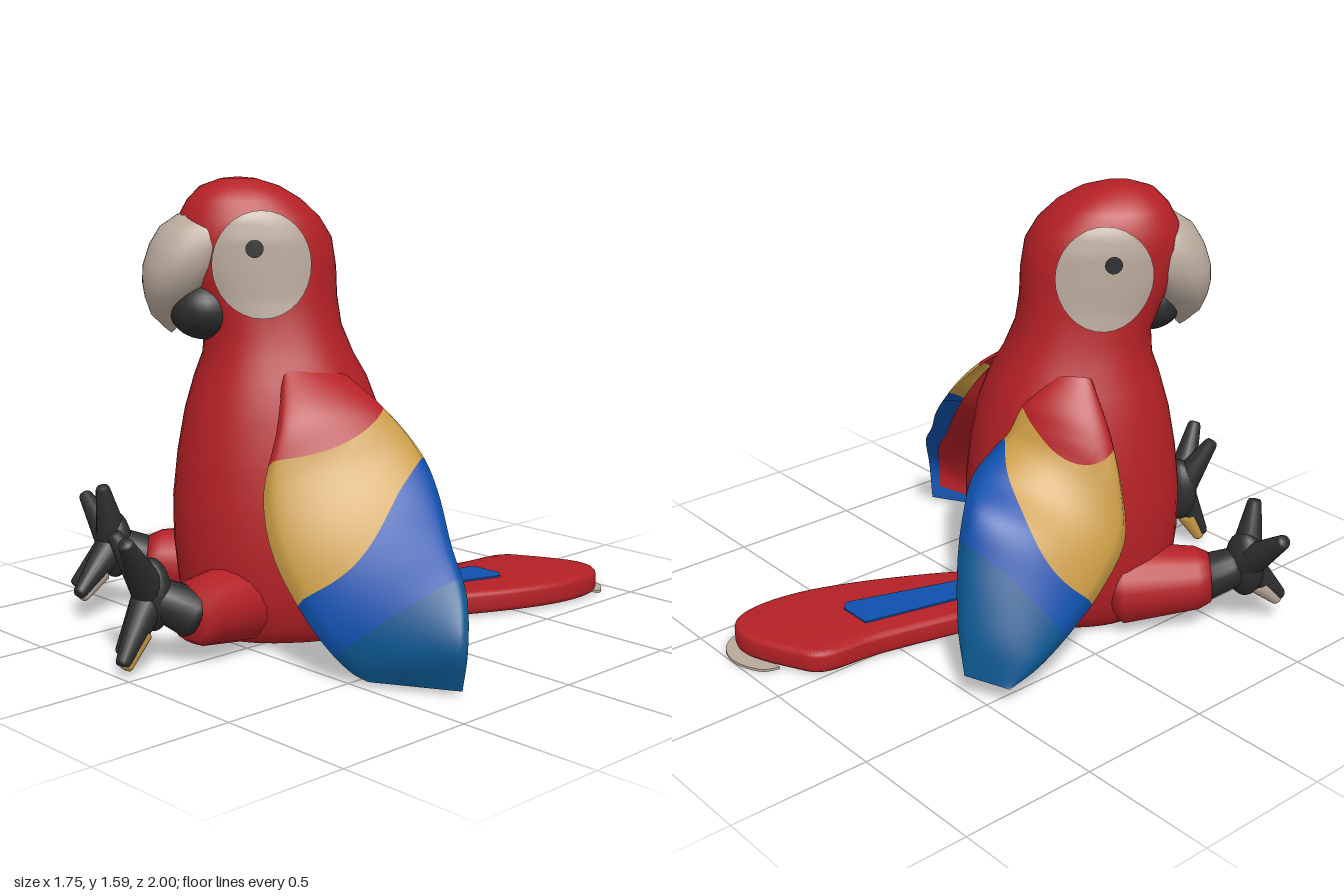
import * as THREE from 'three';
import { mergeVertices, toCreasedNormals } from 'three/addons/utils/BufferGeometryUtils.js';

const V = (x, y, z) => new THREE.Vector3(x, y, z);
const YAW = -0.64; // the bird sits turned towards its right

function material(name, color) {
  const m = new THREE.MeshStandardMaterial({ color, side: THREE.DoubleSide });
  m.name = name;
  return m;
}

// Smooth surface through point(u, v), u and v from 0 to 1
function surface(point, nu, nv) {
  const pos = [], index = [];
  for (let j = 0; j <= nv; j++)
    for (let i = 0; i <= nu; i++) pos.push(...point(i / nu, j / nv).toArray());
  for (let j = 0; j < nv; j++)
    for (let i = 0; i < nu; i++) {
      const a = j * (nu + 1) + i, d = a + nu + 1;
      index.push(a, a + 1, d + 1, a, d + 1, d);
    }
  let geo = new THREE.BufferGeometry();
  geo.setAttribute('position', new THREE.Float32BufferAttribute(pos, 3));
  geo.setIndex(index);
  geo = mergeVertices(geo, 1e-5);
  geo.computeVertexNormals();
  return geo;
}

// Cross-section rows: height, forward offset, half width, half depth
const BODY = [
  [0.025, 0, 0, 0], [0.03, 0, 0.28, 0.29], [0.09, 0, 0.33, 0.35], [0.2, 0, 0.352, 0.375],
  [0.35, 0.005, 0.36, 0.385], [0.5, 0.005, 0.354, 0.385], [0.65, 0.005, 0.336, 0.368], [0.8, 0.005, 0.31, 0.34],
  [0.92, 0.01, 0.275, 0.3], [1.0, 0.018, 0.245, 0.262], [1.1, 0.035, 0.22, 0.238],
  [1.2, 0.062, 0.208, 0.25], [1.3, 0.085, 0.207, 0.27], [1.4, 0.1, 0.205, 0.27], [1.47, 0.115, 0.193, 0.243],
  [1.53, 0.13, 0.162, 0.195], [1.575, 0.145, 0.115, 0.135], [1.6, 0.15, 0.055, 0.06], [1.606, 0.15, 0, 0],
];
const BEAK = [
  [1.075, 0.385, 0, 0], [1.09, 0.387, 0.018, 0.018], [1.14, 0.4, 0.062, 0.055], [1.2, 0.385, 0.112, 0.09],
  [1.25, 0.365, 0.145, 0.118], [1.31, 0.34, 0.165, 0.14], [1.38, 0.305, 0.165, 0.152], [1.44, 0.275, 0.145, 0.145],
  [1.48, 0.25, 0.09, 0.11], [1.495, 0.24, 0, 0],
];
const POWER = 2.4;

function rowAt(rows, y) {
  let i = 0;
  while (i < rows.length - 2 && rows[i + 1][0] < y) i++;
  const k = (y - rows[i][0]) / (rows[i + 1][0] - rows[i][0]);
  return rows[i].map((a, n) => a + (rows[i + 1][n] - a) * k);
}

function loft(rows) {
  const n = rows.length - 1;
  const round = (c) => Math.sign(c) * Math.abs(c) ** (2 / POWER);
  return surface((u, v) => {
    const [y, f, rx, rz] = rows[Math.round(v * n)];
    const a = u * Math.PI * 2;
    return V(rx * round(Math.sin(a)), y, f + rz * round(Math.cos(a)));
  }, 48, n);
}

// Oval lying just above the side of the head
function sidePatch(side, y0, z0, ry, rz, lift) {
  return surface((u, v) => {
    const a = -side * u * Math.PI * 2;
    const y = y0 + ry * v * Math.sin(a);
    const z = z0 + rz * v * Math.cos(a);
    const [, f, hx, hz] = rowAt(BODY, y);
    const x = hx * Math.max(0, 1 - Math.abs((z - f) / hz) ** POWER) ** (1 / POWER);
    return V(side * (x + lift), y, z);
  }, 32, 10);
}

// Rounded, tapered limb between two points
function limb(a, b, r1, r2) {
  const len = a.distanceTo(b);
  const profile = [[0, -r1 * 0.5], [r1 * 0.75, -r1 * 0.3], [r1, 0], [r2, len - r2 * 0.5],
    [r2 * 0.8, len - r2 * 0.1], [0, len]].map((p) => new THREE.Vector2(...p));
  const geo = new THREE.LatheGeometry(profile, 18);
  geo.applyQuaternion(new THREE.Quaternion().setFromUnitVectors(V(0, 1, 0), b.clone().sub(a).normalize()));
  return geo.translate(a.x, a.y, a.z);
}

// Flat slab from an x, -z outline, lying at height y
function slab(points, y, depth, bevel, smooth) {
  const pts = points.map((p) => new THREE.Vector2(...p));
  const shape = new THREE.Shape();
  if (smooth) {
    shape.moveTo(pts[0].x, pts[0].y);
    shape.splineThru([...pts.slice(1), pts[0]]);
  } else shape.setFromPoints(pts);
  const geo = new THREE.ExtrudeGeometry(shape, {
    depth, curveSegments: 36, bevelEnabled: bevel > 0, bevelSize: bevel, bevelThickness: bevel,
    bevelOffset: -bevel, bevelSegments: 3,
  });
  geo.rotateX(-Math.PI / 2).translate(0, y, 0);
  return toCreasedNormals(geo, 0.9);
}

export function createModel() {
  const model = new THREE.Group();
  model.name = 'parrot';
  const red = material('red plumage', 0xb42025);
  const gold = material('gold feathers', 0xc99b45);
  const blue = material('blue feathers', 0x0f50ac);
  const teal = material('deep blue feathers', 0x0c5790);
  const pale = material('pale skin and beak', 0xb9a99c);
  const dark = material('dark grey', 0x2d2d2d);

  const add = (parent, name, geo, mat) => {
    const m = new THREE.Mesh(geo, mat);
    m.name = name;
    parent.add(m);
    return m;
  };

  // Body and head share one turned frame
  const torso = new THREE.Group();
  torso.name = 'torso';
  torso.position.set(-0.12, 0, 0.22);
  torso.rotation.y = YAW;
  model.add(torso);
  add(torso, 'bodyAndHead', loft(BODY), red);
  add(torso, 'upperBeak', loft(BEAK), pale).position.x = 0.025;
  const jaw = add(torso, 'lowerBeak', new THREE.SphereGeometry(1, 28, 18), dark);
  jaw.scale.set(0.13, 0.105, 0.125);
  jaw.position.set(0.055, 1.16, 0.27);
  for (const s of [-1, 1]) {
    add(torso, 'cheek', sidePatch(s, 1.32, 0.085, 0.18, 0.168, 0.008), pale);
    add(torso, 'eye', sidePatch(s, 1.375, 0.111, 0.03, 0.03, 0.014), dark);
  }

  // Wings: front and back edge curves with an outward bulge, banded in colour.
  // side is 1 for left, -1 for right; borders give position at front, back and extra mid dip
  function wing(name, side, front, back, bulge, redEnd, goldEnd) {
    const group = new THREE.Group();
    group.name = name;
    model.add(group);
    const [f, b] = [front, back].map((e) => new THREE.CatmullRomCurve3(e.map((p) => V(...p))));
    const at = (t, v, k) => {
      const s = t / 7;
      const fade = (1 - s ** 5) * (0.3 + 0.7 * Math.min(1, 4 * s));
      return f.getPoint(s).lerp(b.getPoint(s), v)
        .addScaledVector(bulge, k * fade * Math.max(0, Math.sin(Math.PI * v)) ** 0.4);
    };
    const border = ([a, c, dip], v) => a + (c - a) * v + dip * Math.sin(Math.PI * v);
    const borders = [[0, 0, 0], redEnd, goldEnd, [5.3, 4.7, 0], [7, 7, 0]];
    const bands = [['shoulderFeathers', red], ['middleFeathers', gold], ['flightFeathers', blue], ['wingTip', teal]];
    bands.forEach(([part, mat], i) => {
      add(group, part, surface((u, v) => {
        const w = side > 0 ? 1 - u : u;
        const t0 = border(borders[i], w), t1 = border(borders[i + 1], w);
        return at(t0 + (t1 - t0) * v, w, 1);
      }, 28, 12), mat);
    });
    // Red lining framed by a blue rim
    const inside = (t0, t1, v1, k) => surface((u, v) =>
      at(t0 + (t1 - t0) * v, v1 * (side > 0 ? u : 1 - u), k), 18, 24);
    add(group, 'rim', inside(2.2, 7, 1, 0.1), blue);
    add(group, 'wingLining', inside(0, 6.6, 0.88, 0), red);
  }
  wing('leftWing', 1,
    [[0.04, 1.0, 0.36], [0.14, 0.79, 0.48], [0.15, 0.58, 0.55], [0.22, 0.4, 0.575], [0.34, 0.23, 0.56],
      [0.45, 0.12, 0.54], [0.52, 0.05, 0.5], [0.57, 0.03, 0.48]],
    [[0.06, 1.0, 0.2], [0.29, 0.83, 0.12], [0.41, 0.69, 0.07], [0.51, 0.59, 0.1], [0.67, 0.44, 0.2],
      [0.8, 0.32, 0.27], [0.87, 0.17, 0.34], [0.84, 0.03, 0.33]],
    V(0.045, 0.06, 0.04), [1.55, 0.95, 0.45], [3.9, 2.1, 0.65]);
  wing('rightWing', -1,
    [[-0.35, 0.98, 0.1], [-0.45, 0.8, 0.1], [-0.51, 0.62, 0.1], [-0.55, 0.45, 0.08], [-0.57, 0.32, -0.04],
      [-0.58, 0.22, -0.18], [-0.58, 0.13, -0.34], [-0.56, 0.08, -0.45]],
    [[-0.22, 0.97, 0.01], [-0.17, 0.87, -0.07], [-0.13, 0.75, -0.12], [-0.15, 0.67, -0.26], [-0.24, 0.6, -0.38],
      [-0.28, 0.46, -0.44], [-0.35, 0.25, -0.5], [-0.42, 0.1, -0.53]],
    V(-0.08, 0.075, -0.05), [1.2, 0.95, 1.0], [4.4, 1.9, 0.9]);

  // Tail with a blue stripe on both faces and a pale fringe
  add(model, 'tail', slab([[-0.15, 0.0], [-0.12, 0.2], [-0.03, 0.58], [0.0, 0.8], [0.1, 0.88], [0.28, 0.95],
    [0.4, 0.91], [0.44, 0.78], [0.41, 0.58], [0.3, 0.32], [0.14, 0.05], [0, -0.05]], 0.04, 0.045, 0.02, true), red);
  add(model, 'tailStripe', slab([[-0.04, 0.1], [0.08, 0.1], [0.23, 0.55], [0.2, 0.58], [0.07, 0.58]],
    0.104, 0.007, 0, false), blue);
  add(model, 'tailStripeBelow', slab([[0.0, 0.24], [0.15, 0.24], [0.28, 0.66], [0.12, 0.69]],
    0.014, 0.007, 0, false), blue);
  add(model, 'tailFringe', slab([[0.14, 0.9], [0.17, 0.96], [0.27, 0.998], [0.37, 0.975], [0.42, 0.9], [0.3, 0.9]],
    0.012, 0.009, 0, true), pale);

  // Legs with four-toed feet
  function leg(name, hip, ankle, palm, toes, sole) {
    const group = new THREE.Group();
    group.name = name;
    model.add(group);
    add(group, 'thigh', limb(hip, ankle, 0.15, 0.115), red);
    add(group, 'ankle', limb(ankle.clone().lerp(hip, 0.1), palm, 0.085, 0.07), dark);
    const pad = add(group, 'palm', new THREE.SphereGeometry(1, 18, 12), dark);
    pad.scale.set(0.08, 0.125, 0.06);
    pad.position.copy(palm);
    toes.forEach((toe, i) => {
      add(group, 'toe', limb(palm, toe, 0.065, 0.026), dark);
      // Pale soles under the lower toes
      if (i > 1) {
        const low = V(0, -0.014, -0.014);
        add(group, 'sole', limb(palm.clone().lerp(toe, 0.5).add(low), toe.clone().add(low), 0.04, 0.022), sole);
      }
    });
  }
  leg('leftLeg', V(-0.05, 0.17, 0.42), V(0.0, 0.185, 0.76), V(-0.095, 0.25, 0.83),
    [V(-0.18, 0.46, 0.92), V(-0.02, 0.47, 0.99), V(-0.15, 0.05, 0.92), V(-0.05, 0.05, 0.99)], gold);
  leg('rightLeg', V(-0.4, 0.18, 0.22), V(-0.61, 0.2, 0.47), V(-0.69, 0.26, 0.55),
    [V(-0.87, 0.42, 0.55), V(-0.67, 0.49, 0.61), V(-0.76, 0.11, 0.68), V(-0.65, 0.11, 0.74)], pale);

  return model;
}
